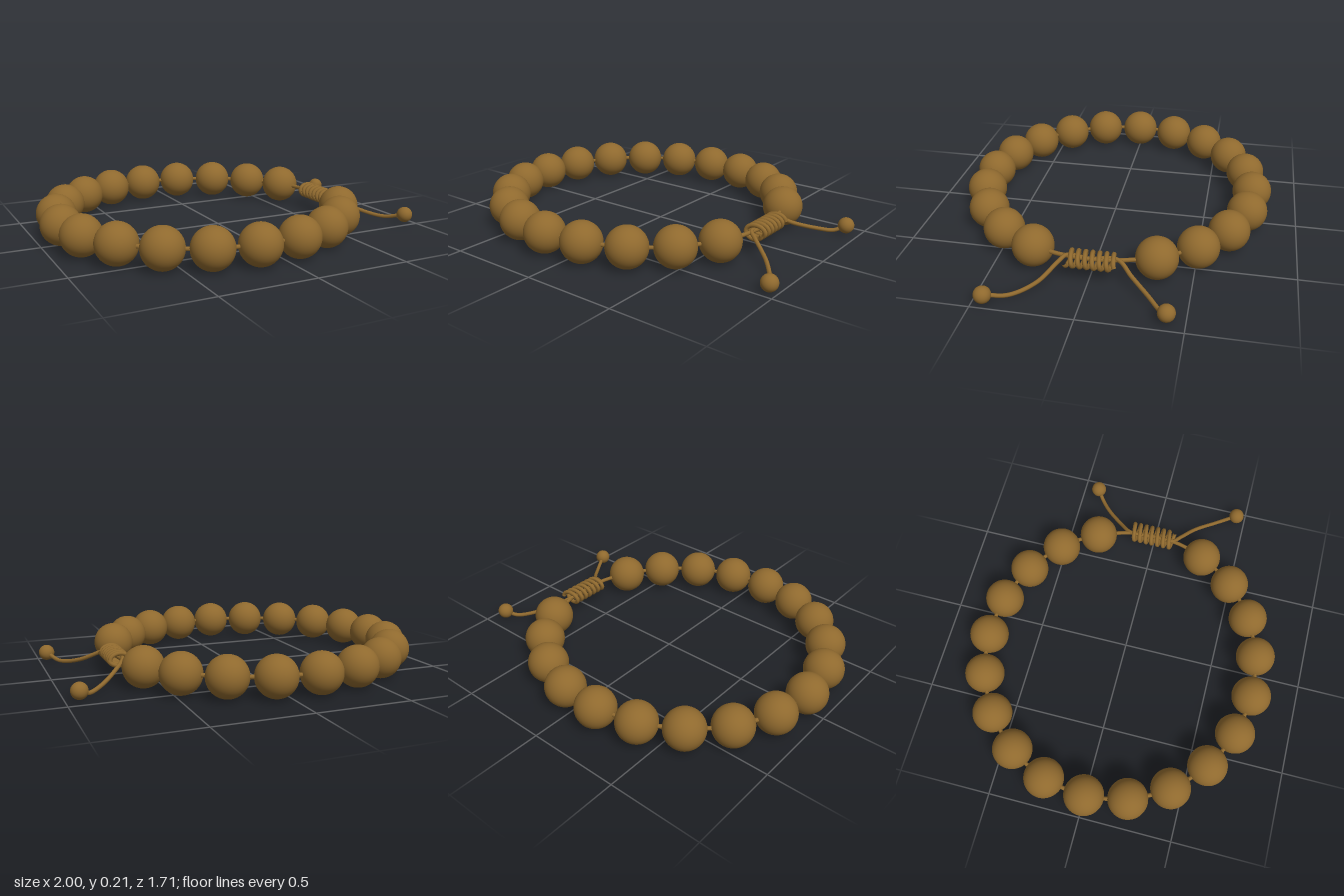
import * as THREE from 'three';

const BEAD_R = 0.107;

// Closed or open round cord along a smooth curve
function cord(name, points, radius, segments, material, closed = false) {
  const curve = new THREE.CatmullRomCurve3(points, closed);
  const mesh = new THREE.Mesh(new THREE.TubeGeometry(curve, segments, radius, 8, closed), material);
  mesh.name = name;
  return mesh;
}

function ball(name, geometry, position, material) {
  const mesh = new THREE.Mesh(geometry, material);
  mesh.name = name;
  mesh.position.copy(position);
  return mesh;
}

export function createModel() {
  const group = new THREE.Group();
  group.name = 'beadBracelet';
  const wood = new THREE.MeshStandardMaterial({ color: 0x8f692e });
  wood.name = 'warm brown';
  const v = (x, y, z) => new THREE.Vector3(x, y, z);

  // Nineteen beads evenly spaced round an ellipse, open on the +x side
  const start = THREE.MathUtils.degToRad(24.1);
  const end = THREE.MathUtils.degToRad(335);
  const ring = new THREE.EllipseCurve(-0.112, -0.003, 0.781, 0.748, start, end);
  const centres = ring.getSpacedPoints(18).map((p) => v(p.x, BEAD_R, p.y));
  const beadGeometry = new THREE.SphereGeometry(BEAD_R, 40, 28);
  const beads = new THREE.Group();
  beads.name = 'beads';
  centres.forEach((c, i) => beads.add(ball('bead' + (i + 1), beadGeometry, c, wood)));
  group.add(beads);

  // Cord through the beads and the knot
  const knotCore = [
    v(0.637, 0.107, -0.2), v(0.655, 0.107, -0.13), v(0.665, 0.105, 0),
    v(0.657, 0.107, 0.13), v(0.641, 0.107, 0.2),
  ];
  group.add(cord('threadingCord', [...centres, ...knotCore], 0.011, 260, wood, true));

  // Sliding knot: a slightly flattened coil along z
  const coil = [];
  const turns = 7;
  const steps = turns * 14;
  for (let i = 0; i <= steps; i++) {
    const t = i / steps;
    const a = t * turns * Math.PI * 2;
    coil.push(v(0.669 + 0.05 * Math.cos(a), 0.103 + 0.034 * Math.sin(a), -0.128 + 0.244 * t));
  }
  group.add(cord('knotCoil', coil, 0.012, 280, wood));

  // Two loose tails, each ending in a small bead
  const tails = [
    [v(0.665, 0.105, 0), v(0.66, 0.112, 0.115), v(0.70, 0.095, 0.148), v(0.81, 0.04, 0.227),
      v(0.9, 0.016, 0.34), v(0.957, 0.045, 0.447)],
    [v(0.665, 0.105, 0), v(0.655, 0.112, -0.135), v(0.72, 0.068, -0.216), v(0.81, 0.03, -0.313),
      v(0.88, 0.018, -0.372), v(0.93, 0.045, -0.41)],
  ];
  const endGeometry = new THREE.SphereGeometry(0.043, 28, 20);
  tails.forEach((points, i) => {
    const side = i ? 'back' : 'front';
    group.add(cord(side + 'Tail', points, 0.011, 50, wood));
    group.add(ball(side + 'TailBead', endGeometry, points[points.length - 1], wood));
  });

  return group;
}
